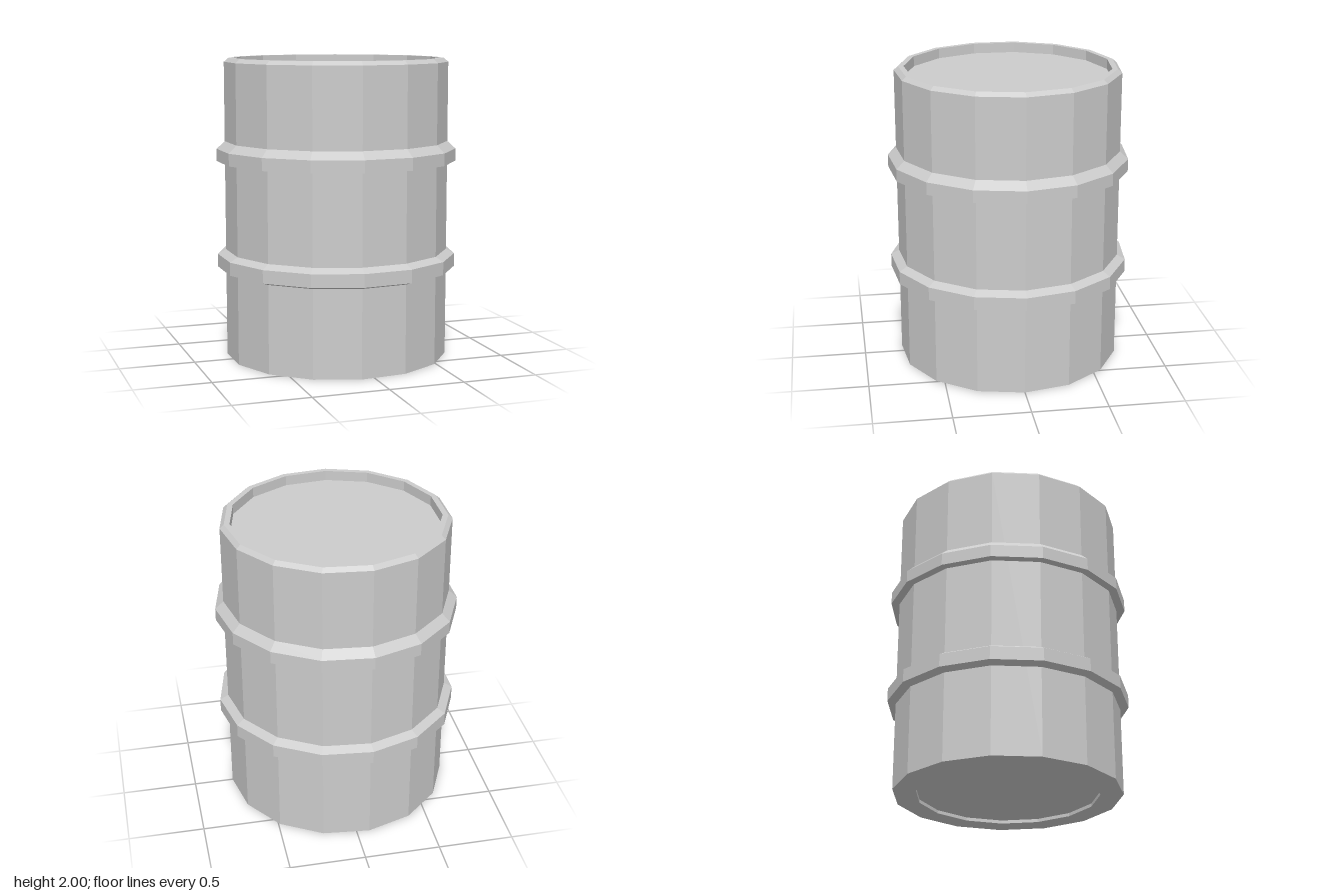
import * as THREE from 'three';

const SIDES = 15;
const BODY_R = 0.745;
const BAND_R = 0.8;

const material = new THREE.MeshStandardMaterial({ color: 0xcccccc, flatShading: true });

// Faceted ring of revolution with one corner on +x; profile runs bottom to top on the outside.
function turned(name, profile) {
  const points = profile.map(([r, y]) => new THREE.Vector2(r, y));
  const mesh = new THREE.Mesh(new THREE.LatheGeometry(points, SIDES, Math.PI / 2), material);
  mesh.name = name;
  return mesh;
}

// Flat faceted disc facing up (+1) or down (-1).
function disc(name, radius, y, facing) {
  const geometry = new THREE.CircleGeometry(radius, SIDES);
  geometry.rotateX(-facing * Math.PI / 2);
  geometry.translate(0, y, 0);
  const mesh = new THREE.Mesh(geometry, material);
  mesh.name = name;
  return mesh;
}

export function createModel() {
  const barrel = new THREE.Group();
  barrel.name = 'barrel';

  // Shell with recessed base, chamfered top rim and recess for the lid
  barrel.add(turned('shell', [
    [0.595, 0.022], [0.595, 0], [BODY_R, 0],
    [BODY_R, 1.975], [0.717, 2], [0.68, 2], [0.68, 1.933],
  ]));
  barrel.add(disc('lid', 0.68, 1.933, 1));
  barrel.add(disc('base', 0.595, 0.022, -1));

  // Raised bands: sloped on top, the lower one also slightly sloped underneath
  barrel.add(turned('upperBand', [[BODY_R, 1.318], [BAND_R, 1.318], [BAND_R, 1.4], [BODY_R, 1.45]]));
  barrel.add(turned('lowerBand', [[BODY_R, 0.585], [BAND_R, 0.603], [BAND_R, 0.69], [BODY_R, 0.72]]));

  // Centre the odd-sided outline on x
  barrel.position.x = -BAND_R * (1 - Math.cos(Math.PI / SIDES)) / 2;

  const model = new THREE.Group();
  model.add(barrel);
  return model;
}
